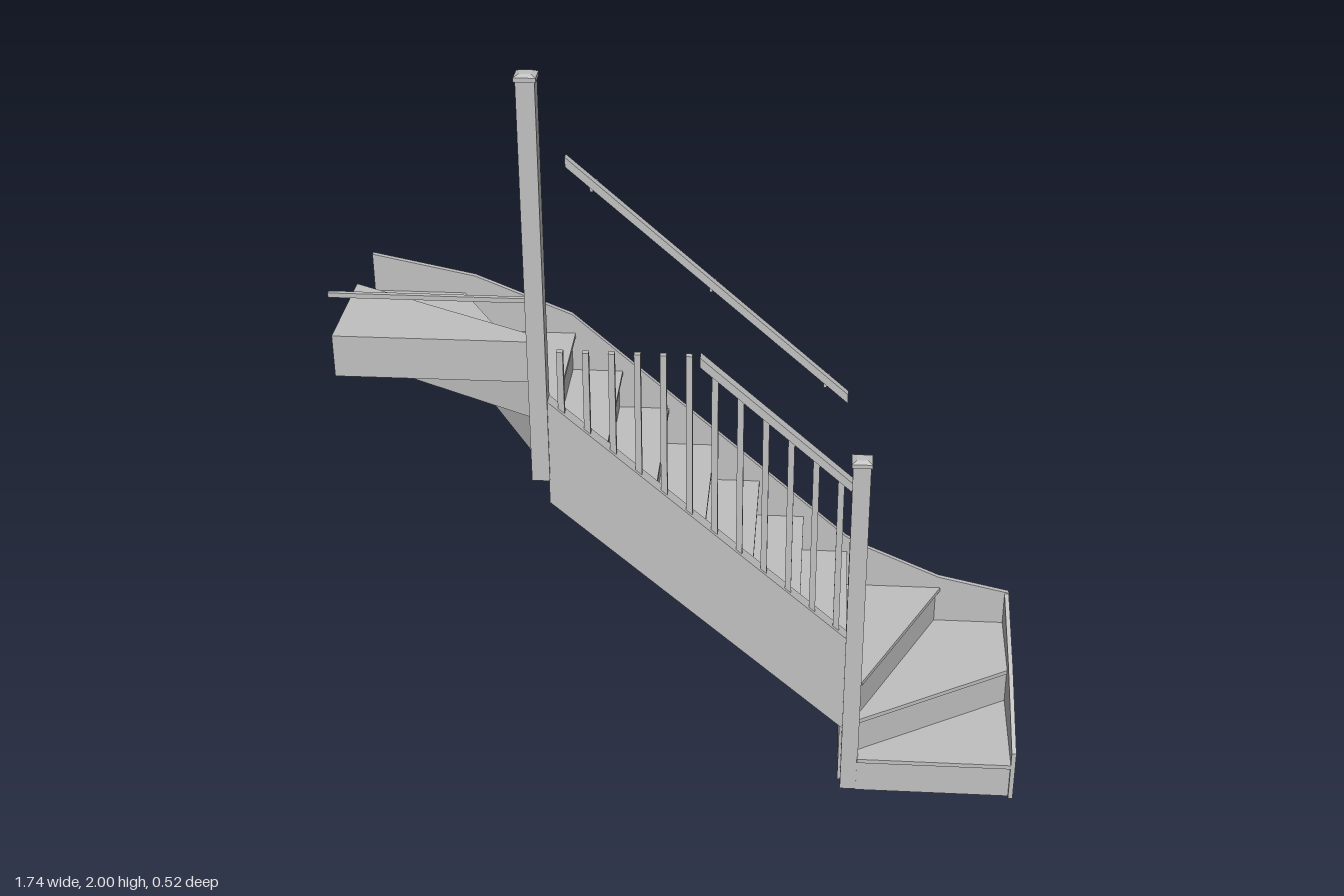
import * as THREE from 'three';

export function createModel() {
  const model = new THREE.Group();
  model.name = 'staircase';
  const paint = new THREE.MeshStandardMaterial({ color: 0xc0c0c0 });
  paint.name = 'light grey paint';

  const add = (name, geometry) => {
    const mesh = new THREE.Mesh(geometry, paint);
    mesh.name = name;
    model.add(mesh);
    return mesh;
  };
  const extrude = (points, depth) => new THREE.ExtrudeGeometry(
    new THREE.Shape(points.map(([a, b]) => new THREE.Vector2(a, b))), { depth, bevelEnabled: false });
  // Upright panel drawn in x, y
  const panel = (name, points, z0, z1) => add(name, extrude(points, z1 - z0).translate(0, 0, z0));
  // Level slab drawn in x, z
  const slab = (name, points, y0, y1) =>
    add(name, extrude(points.map(([x, z]) => [x, -z]), y1 - y0).rotateX(-Math.PI / 2).translate(0, y0, 0));
  const box = (name, x0, x1, y0, y1, z0, z1) =>
    add(name, new THREE.BoxGeometry(x1 - x0, y1 - y0, z1 - z0)
      .translate((x0 + x1) / 2, (y0 + y1) / 2, (z0 + z1) / 2));

  const rise = 0.11, going = 0.1245, thick = 0.012, nose = 0.01;
  const back = -0.25, side = 0.205;
  const noseX = n => 0.41 - going * (n - 4);
  const stringTop = x => 1.155 - 0.887 * (x + 0.345);
  const stringBottom = x => 0.865 - 0.886 * (x + 0.345);

  // Straight flight: stepped body with a sloping soffit, and a plate for each tread
  const body = [[0.4, stringBottom(0.4) + 0.01]];
  for (let n = 4; n <= 9; n++) {
    const top = n * rise - thick;
    body.push([noseX(n) - nose, top], [noseX(n + 1) - nose, top]);
    box('tread', noseX(n + 1) - nose, noseX(n), top, n * rise, back, side);
  }
  body.push([noseX(10) - nose, stringBottom(-0.345) + 0.01]);
  panel('flightBody', body, back, side);

  // Lower winders, solid to the floor
  const lower = [
    [[0.45, 0.25], [0.86, 0.25], [0.86, back], [0.4, back], [0.4, 0.21], [0.45, 0.21]],
    [[0.44, 0.225], [0.86, -0.03], [0.86, back], [0.4, back], [0.4, 0.21]],
    [[0.445, 0.215], [0.665, back], [0.4, back], [0.4, 0.21]],
  ];
  const lowerTreads = [
    [[0.45, 0.26], [0.86, 0.26], [0.86, back], [0.4, back], [0.4, 0.21], [0.45, 0.21]],
    [[0.45, 0.232], [0.86, -0.018], [0.86, back], [0.4, back], [0.4, 0.21]],
    [[0.455, 0.215], [0.677, back], [0.4, back], [0.4, 0.21]],
  ];
  lower.forEach((points, i) => {
    const top = (i + 1) * rise;
    slab('lowerWinder', points, i * rise && i * rise - thick, top - thick);
    slab('lowerWinderTread', lowerTreads[i], top - thick, top);
  });

  // Upper winders, one riser deep with level undersides
  const upper = [
    [[-0.347, back], [-0.347, side], [-0.385, 0.22], [-0.645, back]],
    [[-0.635, back], [-0.375, 0.21], [-0.39, 0.22], [-0.87, -0.045], [-0.87, back]],
    [[-0.87, -0.045], [-0.39, 0.21], [-0.39, 0.24], [-0.87, 0.24]],
  ];
  const upperTreads = [
    [[-0.337, back], [-0.337, side], [-0.385, 0.22], [-0.645, back]],
    [[-0.63, back], [-0.365, 0.21], [-0.39, 0.22], [-0.87, -0.045], [-0.87, back]],
    [[-0.87, -0.057], [-0.385, 0.2], [-0.39, 0.24], [-0.87, 0.24]],
  ];
  upper.forEach((points, i) => {
    const top = (i + 10) * rise;
    slab('upperWinder', points, top - rise, top - thick);
    slab('upperWinderTread', upperTreads[i], top - thick, top);
  });

  // Strings: wall side, open side and the lower end
  panel('wallString', [
    [0.87, 0], [0.87, 0.32], [0.67, 0.365], [0.455, 0.46], [0.405, stringTop(0.405)],
    [-0.345, stringTop(-0.345)], [-0.6, 1.26], [-0.87, 1.315], [-0.87, 0.99], [-0.345, 0.99],
    [-0.345, stringBottom(-0.345)], [0.4, stringBottom(0.4)], [0.4, 0],
  ], -0.262, -0.248);
  panel('outerString', [
    [0.41, stringTop(0.41)], [-0.35, stringTop(-0.35)],
    [-0.35, stringBottom(-0.35)], [0.41, stringBottom(0.41)],
  ], 0.205, 0.243);
  add('endString', extrude([[0.26, 0], [0.26, 0.15], [0, 0.25], [-0.26, 0.32], [-0.26, 0]], 0.012)
    .rotateY(-Math.PI / 2).translate(0.87, 0, 0));

  // Newel posts with low pyramid caps
  const newel = (name, x, y0, y1) => {
    box(name, x - 0.0225, x + 0.0225, y0, y1 - 0.015, 0.2025, 0.2475);
    box(name + 'Cap', x - 0.026, x + 0.026, y1 - 0.017, y1 - 0.006, 0.199, 0.251);
    add(name + 'CapTop', new THREE.CylinderGeometry(0.02, 0.026 * Math.SQRT2, 0.006, 4)
      .toNonIndexed().rotateY(Math.PI / 4).translate(x, y1 - 0.003, 0.225))
      .geometry.computeVertexNormals();
  };
  newel('lowerNewel', 0.43, 0, 1.02);
  newel('upperNewel', -0.37, 0.935, 2);

  // Sloping handrails
  const railTop = x => 1.622 - 0.888 * (x + 0.345);
  const rail = (name, x0, x1, z0, z1) => panel(name, [
    [x0, railTop(x0)], [x0, railTop(x0) - 0.026], [x1, railTop(x1) - 0.026], [x1, railTop(x1)],
  ], z0, z1);
  rail('outerHandrail', 0.028, 0.41, 0.21, 0.24);
  rail('wallHandrail', -0.345, 0.395, -0.224, -0.2);
  box('landingRail', -0.87, -0.39, 1.424, 1.436, 0.228, 0.24);

  // Balusters, cut level where the handrail stops
  for (let i = 0; i < 12; i++) {
    const x = -0.315 + i * 0.0632, w = 0.008;
    const top = y => (x < 0.02 ? 1.29 : railTop(y) - 0.02);
    panel('baluster', [
      [x - w, top(x - w)], [x - w, stringTop(x - w) - 0.005],
      [x + w, stringTop(x + w) - 0.005], [x + w, top(x + w)],
    ], 0.217, 0.233);
  }

  // Wall brackets
  for (const x of [-0.28, 0.027, 0.333]) {
    const y = railTop(x) - 0.03;
    box('bracketArm', x - 0.004, x + 0.004, y - 0.009, y - 0.001, -0.258, -0.208);
    box('bracketStem', x - 0.004, x + 0.004, y - 0.009, y + 0.012, -0.216, -0.208);
    box('bracketPlate', x - 0.012, x + 0.012, y - 0.018, y + 0.006, -0.26, -0.254);
  }
  return model;
}
